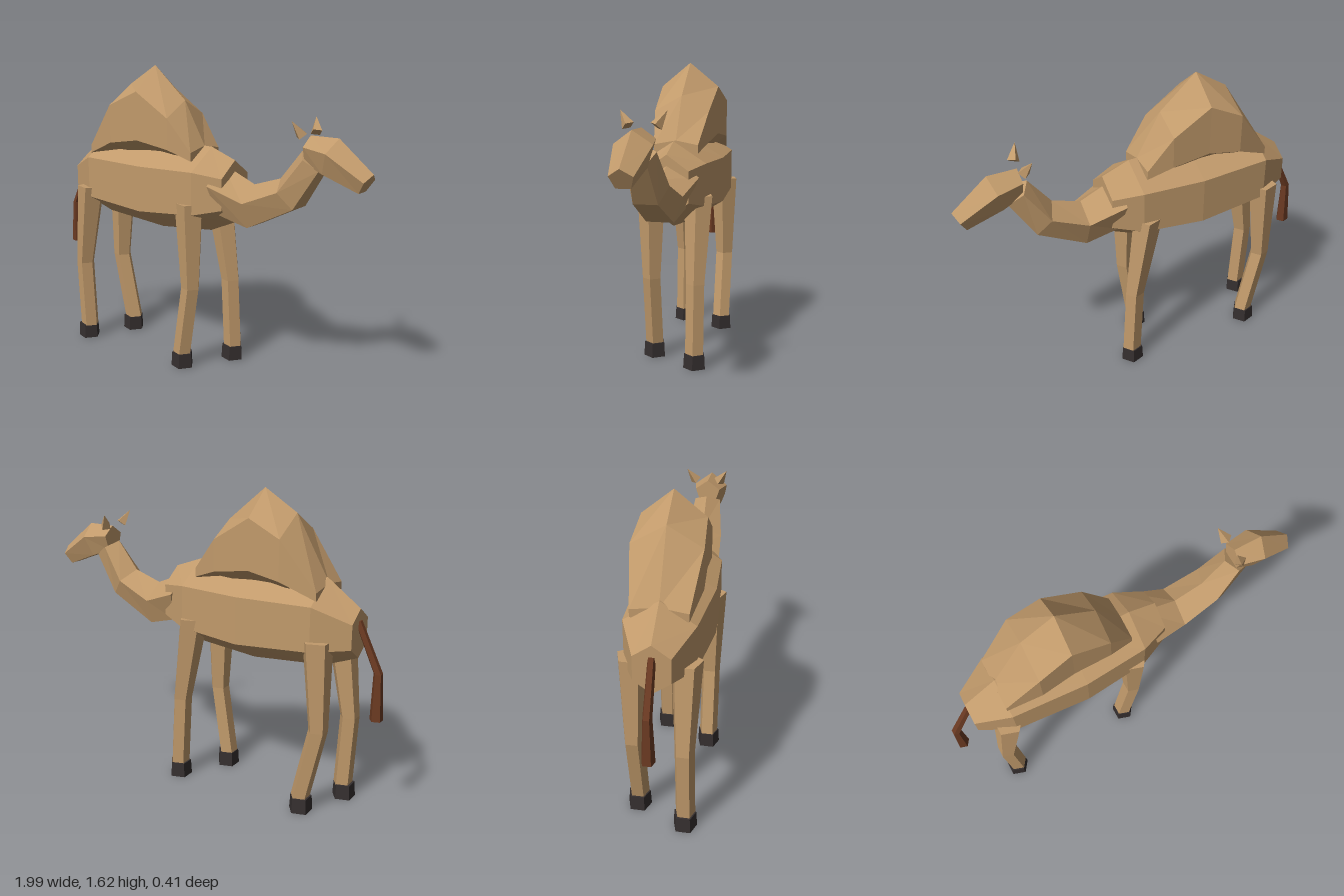
import * as THREE from 'three';

const flat = (name, color) => {
  const m = new THREE.MeshStandardMaterial({ color, flatShading: true });
  m.name = name;
  return m;
};

// Closed loft through polygon rings.
// Each section is [apexX, apexY, baseX, baseY, radiusZ]; apex and base lie on opposite sides of the ring.
function loft(sides, sections, z = 0) {
  const low = sides % 2 ? Math.cos(Math.PI / sides) : 1;
  const rings = sections.map(([ax, ay, bx, by, rz]) => {
    const ux = (ax - bx) / (1 + low), uy = (ay - by) / (1 + low);
    const ring = [];
    for (let i = 0; i < sides; i++) {
      const t = (i / sides) * Math.PI * 2, c = Math.cos(t);
      ring.push([ax - ux + ux * c, ay - uy + uy * c, z + rz * Math.sin(t)]);
    }
    return ring;
  });
  const pos = [];
  const tri = (...p) => p.forEach((q) => pos.push(...q));
  for (let s = 0; s < rings.length - 1; s++) {
    for (let i = 0; i < sides; i++) {
      const j = (i + 1) % sides, a = rings[s], b = rings[s + 1];
      tri(a[i], a[j], b[j]);
      tri(a[i], b[j], b[i]);
    }
  }
  const first = rings[0], last = rings[rings.length - 1];
  for (let i = 1; i < sides - 1; i++) {
    tri(first[0], first[i + 1], first[i]);
    tri(last[0], last[i], last[i + 1]);
  }
  const g = new THREE.BufferGeometry();
  g.setAttribute('position', new THREE.Float32BufferAttribute(pos, 3));
  g.computeVertexNormals();
  return g;
}

// Upright ring for the trunk: centre x, y, half height, half width
const upright = (x, y, r, w) => [x, y + r, x, y - r, w / Math.sin(Math.PI / 3)];
// Level pentagon ring for limbs: centre x, y, radius
const level = (x, y, r) => [x + r, y, x - 0.81 * r, y, r];

export function createModel() {
  const model = new THREE.Group();
  model.name = 'camel';
  const coat = flat('tan coat', 0xc19a6b);
  const tailBrown = flat('tail brown', 0x6b3a22);
  const hoofDark = flat('hoof charcoal', 0x352f2f);
  const add = (name, geometry, material) => {
    const m = new THREE.Mesh(geometry, material);
    m.name = name;
    model.add(m);
    return m;
  };

  // Trunk and hump
  add('body', loft(6, [
    upright(-0.86, 0.955, 0.125, 0.09),
    upright(-0.68, 0.985, 0.225, 0.175),
    upright(-0.28, 0.972, 0.245, 0.2),
    upright(0.06, 0.985, 0.225, 0.175),
    upright(0.21, 0.99, 0.165, 0.115),
  ]), coat);
  add('hump', loft(6, [
    upright(-0.69, 1.14, 0.04, 0.14),
    upright(-0.505, 1.3, 0.205, 0.175),
    upright(-0.325, 1.355, 0.26, 0.16),
    upright(-0.12, 1.275, 0.165, 0.15),
    upright(0.012, 1.165, 0.045, 0.12),
  ]), coat);

  // Neck and head
  add('neck', loft(5, [
    [0.13, 1.13, 0.17, 0.88, 0.165],
    [0.335, 1.045, 0.34, 0.83, 0.122],
    [0.49, 1.095, 0.6, 0.96, 0.105],
    [0.61, 1.245, 0.73, 1.165, 0.075],
  ]), coat);
  add('head', loft(5, [
    [0.655, 1.325, 0.65, 1.195, 0.072],
    [0.81, 1.325, 0.755, 1.155, 0.097],
    [0.995, 1.175, 0.94, 1.083, 0.06],
  ]), coat);

  // Ears
  for (const side of [-1, 1]) {
    const ear = add(side > 0 ? 'rightEar' : 'leftEar', new THREE.ConeGeometry(0.032, 0.09, 4), coat);
    const dir = new THREE.Vector3(-0.03, 0.07, 0.045 * side).normalize();
    ear.quaternion.setFromUnitVectors(new THREE.Vector3(0, 1, 0), dir);
    ear.position.set(0.631, 1.367, 0.09 * side);
  }

  // Legs: side, then x of hip, knee, ankle and hoof
  const legs = [
    ['frontRight', 1, 0.015, 0.02, -0.04, -0.038],
    ['frontLeft', -1, 0.02, 0.095, 0.115, 0.112],
    ['hindRight', 1, -0.705, -0.775, -0.755, -0.762],
    ['hindLeft', -1, -0.7, -0.722, -0.635, -0.64],
  ];
  for (const [name, side, hip, knee, ankle, hoof] of legs) {
    const z = 0.13 * side;
    add(name + 'Leg', loft(5, [
      level(hip, 0.925, 0.08),
      level(knee, 0.46, 0.052),
      level(ankle, 0.075, 0.052),
    ], z), coat);
    add(name + 'Hoof', loft(5, [
      level(hoof, 0.08, 0.058),
      level(hoof, 0, 0.063),
    ], z), hoofDark);
  }

  // Tail
  add('tail', loft(5, [
    level(-0.85, 1.02, 0.02),
    level(-0.967, 0.77, 0.024),
    level(-0.971, 0.53, 0.035),
  ]), tailBrown);

  return model;
}
